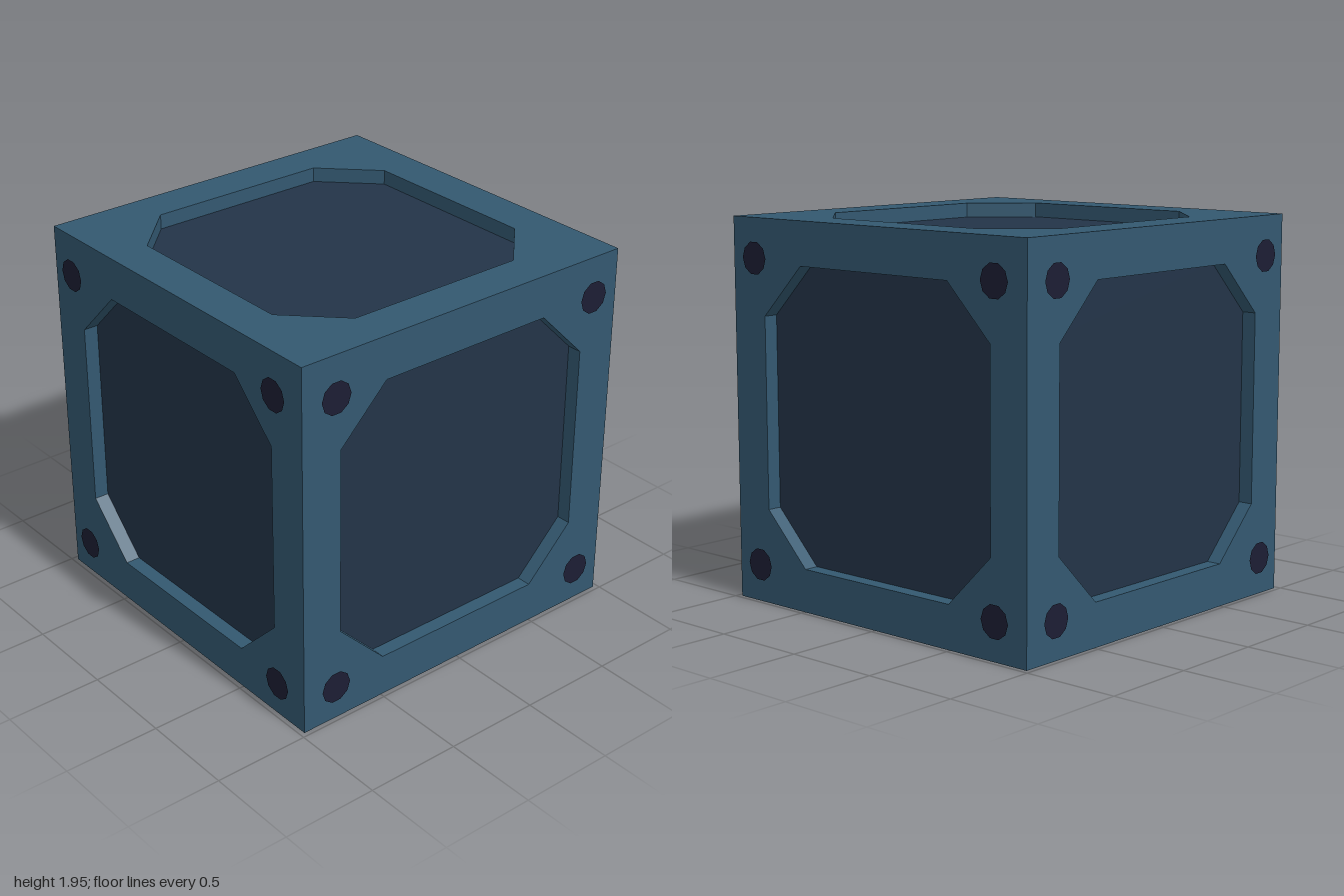
import * as THREE from 'three';

const HALF = 0.976;      // half the cube's edge
const FLOOR = 0.9;       // distance of the recessed panels from the centre
const R = 0.755, C = 0.49; // octagon half width and start of its cut corners

const material = (color) => new THREE.MeshStandardMaterial({ color, flatShading: true });

function named(geometry, mat, name) {
  const mesh = new THREE.Mesh(geometry, mat);
  mesh.name = name;
  return mesh;
}

// Straight walls from the rim down to the panel, facing inward
function recessWalls(points) {
  const pos = [];
  points.forEach((a, i) => {
    const b = points[(i + 1) % points.length];
    const a0 = [a.x, a.y, FLOOR], b0 = [b.x, b.y, FLOOR];
    const a1 = [a.x, a.y, HALF], b1 = [b.x, b.y, HALF];
    pos.push(...a0, ...b1, ...b0, ...a0, ...a1, ...b1);
  });
  const geometry = new THREE.BufferGeometry();
  geometry.setAttribute('position', new THREE.Float32BufferAttribute(pos, 3));
  geometry.computeVertexNormals();
  return geometry;
}

export function createModel() {
  const model = new THREE.Group();
  model.name = 'crate';

  const frameMat = material(0x335870);
  const panelMat = material(0x233448);
  const boltMat = material(0x1c1d33);
  boltMat.side = THREE.DoubleSide;

  // Octagon, counter-clockwise
  const octagon = [
    [R, -C], [R, C], [C, R], [-C, R], [-R, C], [-R, -C], [-C, -R], [C, -R],
  ].map(([x, y]) => new THREE.Vector2(x, y));

  const square = new THREE.Shape([[-1, -1], [1, -1], [1, 1], [-1, 1]]
    .map(([x, y]) => new THREE.Vector2(x * HALF, y * HALF)));
  square.holes.push(new THREE.Path(octagon));

  const frameGeo = new THREE.ShapeGeometry(square).translate(0, 0, HALF);
  const wallGeo = recessWalls(octagon);
  const panelGeo = new THREE.ShapeGeometry(new THREE.Shape(octagon)).translate(0, 0, FLOOR);
  const boltGeo = new THREE.CircleGeometry(0.084, 10);

  // Each face is built facing +z, then turned into place
  const faces = [
    ['front', 0, 0, true],
    ['left', 0, Math.PI / 2, true],
    ['back', 0, Math.PI, true],
    ['right', 0, -Math.PI / 2, true],
    ['top', -Math.PI / 2, 0, false],
    ['bottom', Math.PI / 2, 0, false],
  ];
  for (const [name, rx, ry, bolted] of faces) {
    const face = new THREE.Group();
    face.name = name + 'Face';
    face.add(
      named(frameGeo, frameMat, 'frame'),
      named(wallGeo, frameMat, 'recessWalls'),
      named(panelGeo, panelMat, 'panel'),
    );
    // Flat bolt discs stand just clear of the four upright faces
    if (bolted) {
      for (const sx of [-1, 1]) for (const sy of [-1, 1]) {
        const bolt = named(boltGeo, boltMat, 'bolt');
        bolt.position.set(sx * 0.8, sy * 0.777, 1);
        face.add(bolt);
      }
    }
    face.rotation.set(rx, ry, 0);
    face.position.y = HALF;
    model.add(face);
  }
  return model;
}
